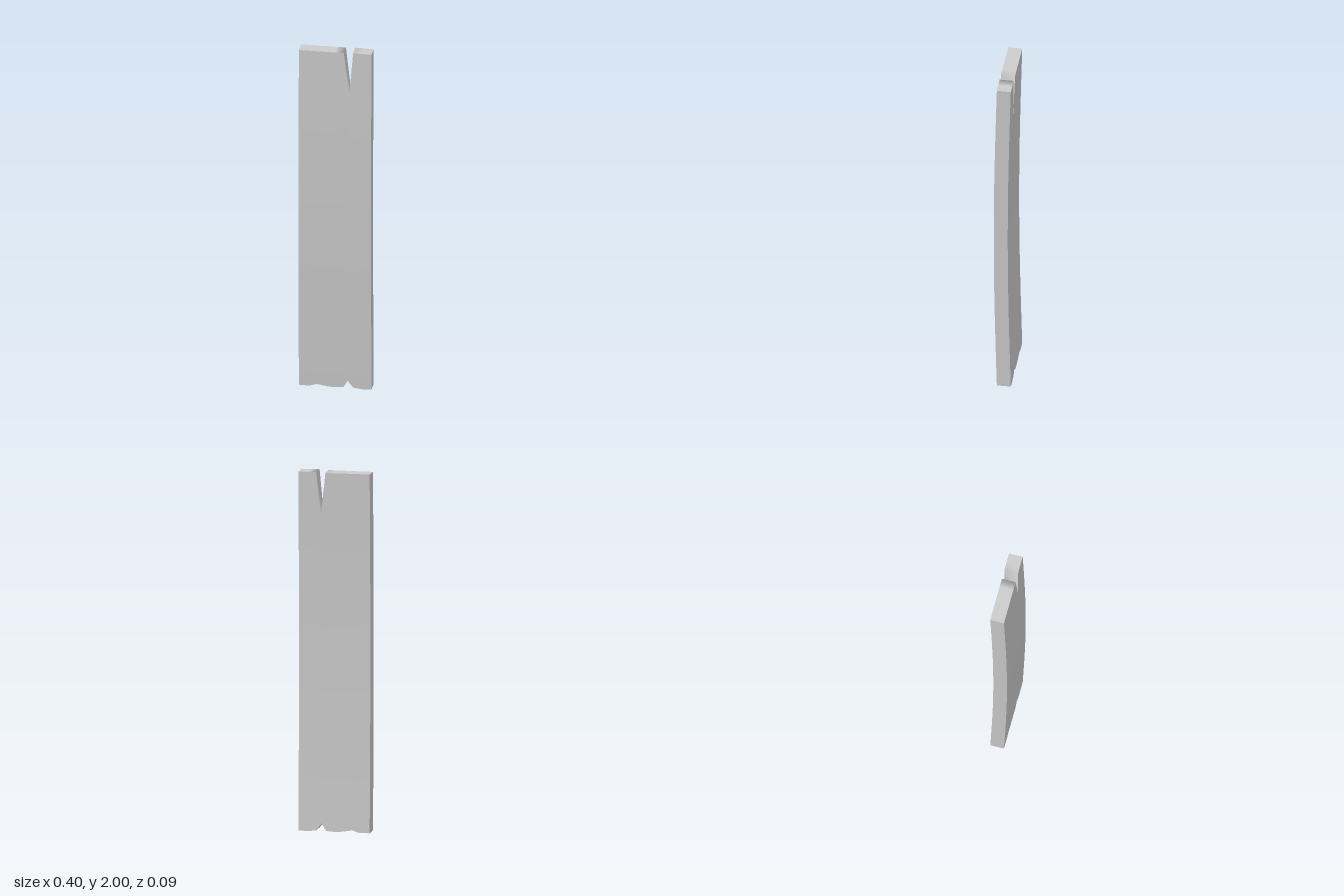
import * as THREE from 'three';

// Columns across the plank: [x at bottom, y at bottom, x at top, y at top]
const COLUMNS = [
  [-0.2, 0.005, -0.2, 2],
  [-0.145, 0.003, -0.145, 2],
  [-0.1, 0.016, -0.1, 1.999],
  [-0.045, 0.006, -0.045, 1.999],
  [0, 0.003, 0, 1.998],
  [0.045, 0.006, 0.048, 1.998],
  [0.068, 0.046, 0.077, 1.745], // split tips
  [0.1, 0.006, 0.099, 2],
  [0.15, 0, 0.15, 1.999],
  [0.2, 0.002, 0.2, 1.998],
];
const ROWS = 16;
const THICKNESS = 0.077;

// Forward bow along the height
const bow = (y) => -0.0085 + 0.017 * Math.sin((Math.PI * y) / 2);

export function createModel() {
  const group = new THREE.Group();
  group.name = 'woodenPlank';

  // Segmented box whose columns follow the split and worn ends
  const last = COLUMNS.length - 1;
  const geometry = new THREE.BoxGeometry(1, 1, THICKNESS, last, ROWS, 1);
  const pos = geometry.attributes.position;
  for (let i = 0; i < pos.count; i++) {
    const [x0, y0, x1, y1] = COLUMNS[Math.round((pos.getX(i) + 0.5) * last)];
    const t = pos.getY(i) + 0.5;
    const y = THREE.MathUtils.lerp(y0, y1, t);
    pos.setXYZ(i, THREE.MathUtils.lerp(x0, x1, t), y, pos.getZ(i) + bow(y));
  }
  geometry.computeVertexNormals();

  const plank = new THREE.Mesh(geometry, new THREE.MeshStandardMaterial({ color: 0xcccccc }));
  plank.name = 'plank';
  group.add(plank);
  return group;
}
